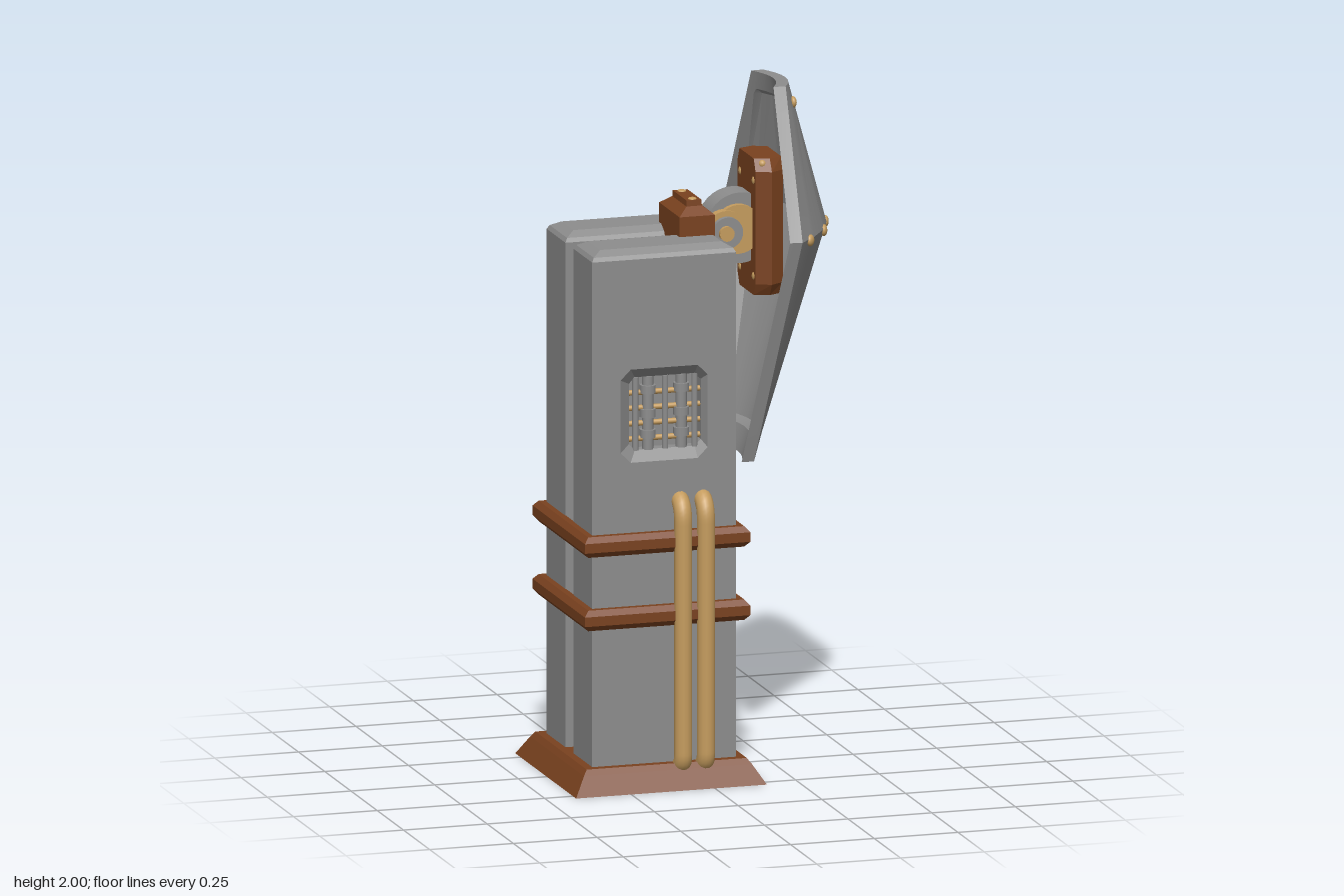
import * as THREE from 'three';
import { toCreasedNormals, mergeVertices } from 'three/addons/utils/BufferGeometryUtils.js';

const grey = new THREE.MeshStandardMaterial({ color: 0x8d8d8d });
const brown = new THREE.MeshStandardMaterial({ color: 0x7a421f });
const tan = new THREE.MeshStandardMaterial({ color: 0xc59c5e });
grey.name = 'stone grey'; brown.name = 'rust brown'; tan.name = 'brass';

// Skins a list of equal-length rings with quads; optional fan caps on the ends.
function loft(rings, caps = true) {
  const pos = [], n = rings[0].length;
  const tri = (a, b, c) => pos.push(...a, ...b, ...c);
  for (let r = 0; r + 1 < rings.length; r++) {
    for (let i = 0; i < n; i++) {
      const j = (i + 1) % n, a = rings[r], b = rings[r + 1];
      tri(a[i], a[j], b[j]); tri(a[i], b[j], b[i]);
    }
  }
  if (caps) {
    const a = rings[0], b = rings[rings.length - 1];
    for (let i = 1; i + 1 < n; i++) { tri(a[0], a[i + 1], a[i]); tri(b[0], b[i], b[i + 1]); }
  }
  const g = new THREE.BufferGeometry();
  g.setAttribute('position', new THREE.Float32BufferAttribute(pos, 3));
  g.computeVertexNormals();
  return g;
}

// Horizontal rectangle [x0, x1, z0, z1] at height y, shrunk by inset.
function rect([x0, x1, z0, z1], y, inset = 0) {
  const a = x0 + inset, b = x1 - inset, c = z0 + inset, d = z1 - inset;
  return [[a, y, d], [b, y, d], [b, y, c], [a, y, c]];
}

// Upright octagon used for the window openings.
function octagon(x0, x1, y0, y1, c) {
  return [[x0 + c, y0], [x1 - c, y0], [x1, y0 + c], [x1, y1 - c],
    [x1 - c, y1], [x0 + c, y1], [x0, y1 - c], [x0, y0 + c]];
}

function add(parent, name, geometry, material, x = 0, y = 0, z = 0) {
  const m = new THREE.Mesh(geometry, material);
  m.name = name;
  m.position.set(x, y, z);
  parent.add(m);
  return m;
}

function rod(parent, name, material, r, len, axis, x, y, z, sides = 20) {
  const g = new THREE.CylinderGeometry(r, r, len, sides);
  if (axis === 'x') g.rotateZ(Math.PI / 2);
  if (axis === 'z') g.rotateX(Math.PI / 2);
  return add(parent, name, g, material, x, y, z);
}

function rivet(parent, x, y, z, r, sx, sy, sz) {
  const m = add(parent, 'rivet', new THREE.SphereGeometry(r, 14, 10), tan, x, y, z);
  m.scale.set(sx, sy, sz);
  return m;
}

function buildPillar(s) {
  const g = new THREE.Group();
  g.name = s > 0 ? 'frontPillar' : 'backPillar';
  const x0 = -0.345, x1 = 0.085, zo = s > 0 ? 0.21 : -0.225, zi = s > 0 ? 0.03 : -0.045;
  const zs = zo - s * 0.06, low = 0.03, top = 1.55;
  const core = [x0, x1, Math.min(zi, zs), Math.max(zi, zs)];
  add(g, 'pillarCore', loft([rect(core, low), rect(core, top)]), grey);
  const full = [x0, x1, Math.min(zi, zo), Math.max(zi, zo)];
  add(g, 'pillarCap', loft([rect(full, top), rect(full, top + 0.012, 0.007), rect(full, 1.577, 0.034)]), grey);

  // outer slab with the window cut out
  const outer = octagon(-0.26, 0, 0.955, 1.228, 0.03), inner = octagon(-0.227, -0.012, 0.985, 1.198, 0.018);
  const shape = new THREE.Shape([[x0, low], [x1, low], [x1, top], [x0, top]].map(p => new THREE.Vector2(...p)));
  shape.holes.push(new THREE.Path(outer.map(p => new THREE.Vector2(...p))));
  add(g, 'pillarFace', new THREE.ExtrudeGeometry(shape, { depth: 0.06, bevelEnabled: false }), grey, 0, 0, Math.min(zo, zs));
  const ring = (pts, d) => {
    const r = pts.map(([x, y]) => [x, y, zo - s * d]);
    return s > 0 ? r : r.reverse();
  };
  add(g, 'windowFrame', loft([ring(outer, 0), ring(inner, 0.028), ring(inner, 0.06)], false), grey);

  // pipework behind the window
  const zp = zo - s * 0.036;
  for (const y of [1.015, 1.06, 1.105, 1.15]) rod(g, 'crossPipe', tan, 0.008, 0.22, 'x', -0.12, y, zp - s * 0.004, 10);
  for (const x of [-0.168, -0.068]) {
    rod(g, 'uprightPipe', grey, 0.016, 0.215, 'y', x, 1.091, zp, 14);
    for (const y of [1.03, 1.09, 1.16]) rod(g, 'pipeCollar', grey, 0.023, 0.024, 'y', x, y, zp, 14);
  }
  for (const x of [-0.207, -0.118, -0.03]) rod(g, 'thinPipe', grey, 0.009, 0.215, 'y', x, 1.091, zp + s * 0.006, 10);

  // pair of conduits bending into the pillar
  for (const x of [-0.082, -0.014]) {
    const v = (d, y) => new THREE.Vector3(x, y, zo + s * d);
    const path = new THREE.CurvePath();
    path.add(new THREE.QuadraticBezierCurve3(v(-0.02, 0.84), v(0.028, 0.832), v(0.028, 0.775)));
    path.add(new THREE.LineCurve3(v(0.028, 0.775), v(0.028, 0.1)));
    path.add(new THREE.QuadraticBezierCurve3(v(0.028, 0.1), v(0.028, 0.06), v(-0.01, 0.058)));
    add(g, 'conduit', new THREE.TubeGeometry(path, 80, 0.026, 14), tan);
  }
  return g;
}

// Outer surface of the shield: t runs -1..1 across the width.
const shieldLevels = [[0.915, 0.14, 0.16, 0.19], [1.59, 0.317, 0.25, 0.405], [2.0, 0.108, 0.265, 0.298]];
function shieldPoint(y, t) {
  const k = y < 1.59 ? 0 : 1, a = shieldLevels[k], b = shieldLevels[k + 1];
  const f = (y - a[0]) / (b[0] - a[0]);
  const [w, xe, xm] = [1, 2, 3].map(i => a[i] + (b[i] - a[i]) * f);
  return [xe + (xm - xe) * (1 - t * t), y, w * t];
}

function buildShield() {
  const g = new THREE.Group();
  g.name = 'shield';
  const ts = [-1, -0.85, -0.8, -0.55, -0.28, 0, 0.28, 0.55, 0.8, 0.85, 1];
  const ys = [0.915, 0.985, 1.0, 1.59, 1.93, 1.945, 2.0];
  const rings = ys.map((y, k) => {
    const out = ts.map(t => shieldPoint(y, -t));
    // thick rim around a thinner, recessed inner panel
    const back = ts.map(t => {
      const p = shieldPoint(y, t);
      const rim = Math.abs(t) > 0.82 || k < 2 || k > 4;
      return [p[0] - (rim ? 0.036 : 0.018), y, p[2] * 0.985];
    });
    return out.concat(back);
  });
  const side = loft(rings, false);
  // end strips join the outer and inner curves
  const pos = Array.from(side.attributes.position.array), n = ts.length;
  [rings[0], rings[rings.length - 1]].forEach((r, e) => {
    for (let i = 0; i + 1 < n; i++) {
      const q = [r[i], r[i + 1], r[2 * n - 2 - i], r[2 * n - 1 - i]];
      if (!e) q.reverse();
      pos.push(...q[0], ...q[1], ...q[2], ...q[0], ...q[2], ...q[3]);
    }
  });
  let geo = new THREE.BufferGeometry();
  geo.setAttribute('position', new THREE.Float32BufferAttribute(pos, 3));
  geo = toCreasedNormals(mergeVertices(geo), 0.27);
  add(g, 'shieldPlate', geo, grey);
  for (const z of [-0.275, -0.167, -0.06, 0.06, 0.167, 0.275]) {
    const p = shieldPoint(1.585, z / 0.316);
    rivet(g, p[0], p[1], z, 0.017, 0.6, 1, 1).rotation.y = -z * 2.4;
  }
  for (const t of [-0.58, 0.58]) rivet(g, ...shieldPoint(1.945, t), 0.017, 0.6, 1, 1);
  return g;
}

function buildJoint() {
  const g = new THREE.Group();
  g.name = 'joint';
  // clamp bridging the two pillars
  const c = [-0.048, 0.058, -0.1, 0.095];
  add(g, 'clamp', loft([rect(c, 1.48), rect(c, 1.635), rect(c, 1.658, 0.03), rect(c, 1.675, 0.031)]), brown);
  for (const z of [-0.053, 0.047]) rivet(g, 0.005, 1.675, z, 0.013, 1, 0.4, 1);
  // pivot and arm
  add(g, 'bracket', new THREE.BoxGeometry(0.06, 0.1, 0.13), tan, 0.075, 1.575, 0);
  rod(g, 'pivotSleeve', tan, 0.062, 0.135, 'z', 0.1, 1.575, 0, 28);
  rod(g, 'pivotRing', grey, 0.046, 0.165, 'z', 0.1, 1.575, 0, 28);
  rod(g, 'pivotPin', tan, 0.022, 0.19, 'z', 0.095, 1.575, 0, 16);
  rod(g, 'armDisc', grey, 0.104, 0.08, 'z', 0.15, 1.578, 0, 32);
  rod(g, 'armRim', tan, 0.072, 0.115, 'z', 0.14, 1.578, 0, 28);
  // mounting plate with chamfered edges, on the shield's inner side
  const p = [[0.225, -0.105], [0.182, -0.085], [0.182, 0.085], [0.225, 0.105], [0.265, 0.08], [0.265, -0.08]];
  const at = (y, k) => p.map(([x, z]) => [x, y, z * k]);
  add(g, 'mountPlate', loft([at(1.385, 0.8), at(1.42, 1), at(1.75, 1), at(1.785, 0.8)]), brown);
  for (const z of [-0.08, 0.08]) {
    rivet(g, 0.205, 1.77, z * 0.95, 0.012, 1, 1, 1);
    for (const y of [1.44, 1.72]) rivet(g, 0.184, y, z * 0.8, 0.012, 0.5, 1, 1);
  }
  return g;
}

export function createModel() {
  const model = new THREE.Group();
  model.name = 'shieldPost';

  // hollow sloped base
  const b = [-0.415, 0.155, -0.3, 0.28];
  add(model, 'base', loft([rect(b, 0.05, 0.05), rect(b, 0, 0.035), rect(b, 0),
    rect(b, 0.055, 0.034), rect(b, 0.071, 0.046)]), brown);

  model.add(buildPillar(1), buildPillar(-1));

  // two straps around the pillars
  const o = [-0.377, 0.117, -0.257, 0.243];
  for (const y of [0.475, 0.69]) {
    add(model, 'strap', loft([rect(o, y, 0.034), rect(o, y, 0.014), rect(o, y + 0.016), rect(o, y + 0.044),
      rect(o, y + 0.06, 0.014), rect(o, y + 0.06, 0.034), rect(o, y, 0.034)], false), brown);
  }

  model.add(buildJoint(), buildShield());
  return model;
}
